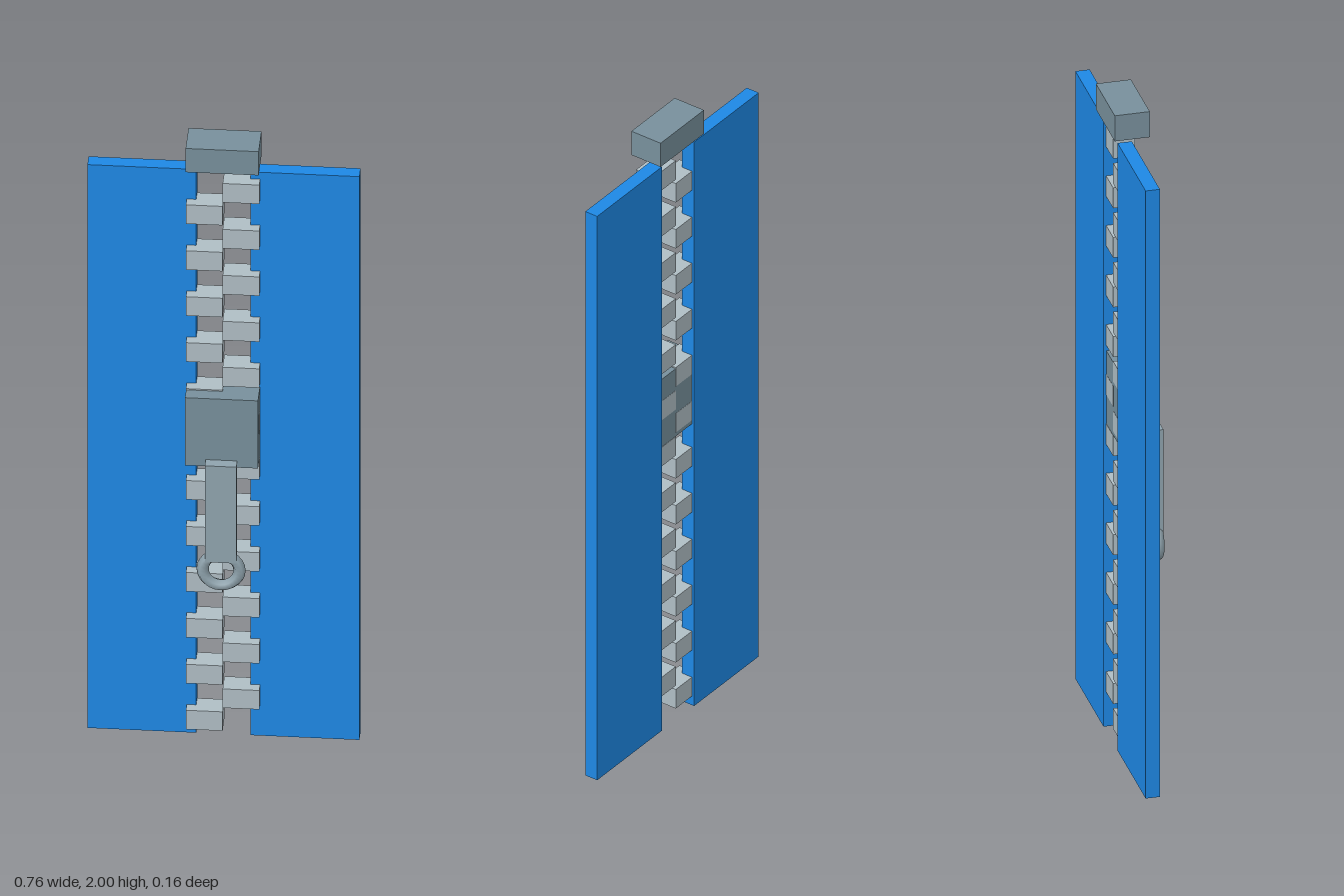
import * as THREE from 'three';

const TEETH = 24;
const FIRST_TOOTH_Y = 0.062;
const TOOTH_STEP = 0.0775;

export function createModel() {
  const group = new THREE.Group();
  group.name = 'zipper';

  const fabric = new THREE.MeshStandardMaterial({ color: 0x1e88e5 });
  const toothMetal = new THREE.MeshStandardMaterial({ color: 0xb0bec5 });
  const darkMetal = new THREE.MeshStandardMaterial({ color: 0x78909c });
  const pullMetal = new THREE.MeshStandardMaterial({ color: 0x90a4ae });

  // Box given by its extents along each axis
  function box(name, material, [x0, x1], [y0, y1], [z0, z1]) {
    const mesh = new THREE.Mesh(new THREE.BoxGeometry(x1 - x0, y1 - y0, z1 - z0), material);
    mesh.position.set((x0 + x1) / 2, (y0 + y1) / 2, (z0 + z1) / 2);
    mesh.name = name;
    group.add(mesh);
    return mesh;
  }

  // Fabric tapes on either side of the gap
  box('leftTape', fabric, [0.076, 0.38], [0, 1.9], [-0.064, -0.023]);
  box('rightTape', fabric, [-0.38, -0.076], [0, 1.9], [-0.064, -0.023]);

  // Teeth alternate from side to side up the gap
  for (let i = 0; i < TEETH; i++) {
    const y = FIRST_TOOTH_Y + i * TOOTH_STEP;
    const onLeft = i % 2 === 1;
    box(onLeft ? 'leftTooth' : 'rightTooth', toothMetal,
      onLeft ? [0, 0.1025] : [-0.1025, 0], [y - 0.032, y + 0.032], [-0.0565, 0.006]);
  }

  // Stop block at the top
  box('topStop', darkMetal, [-0.102, 0.102], [1.92, 2], [-0.079, 0.022]);

  // Slider body and its hanging pull tab
  box('slider', darkMetal, [-0.102, 0.102], [0.947, 1.175], [-0.056, 0.045]);
  box('pullTab', pullMetal, [-0.044, 0.044], [0.645, 0.97], [0.046, 0.077]);

  // Ring at the end of the pull tab
  const ring = new THREE.Mesh(new THREE.TorusGeometry(0.0515, 0.0172, 6, 24), pullMetal);
  ring.position.set(0, 0.612, 0.061);
  ring.name = 'pullRing';
  group.add(ring);

  return group;
}
